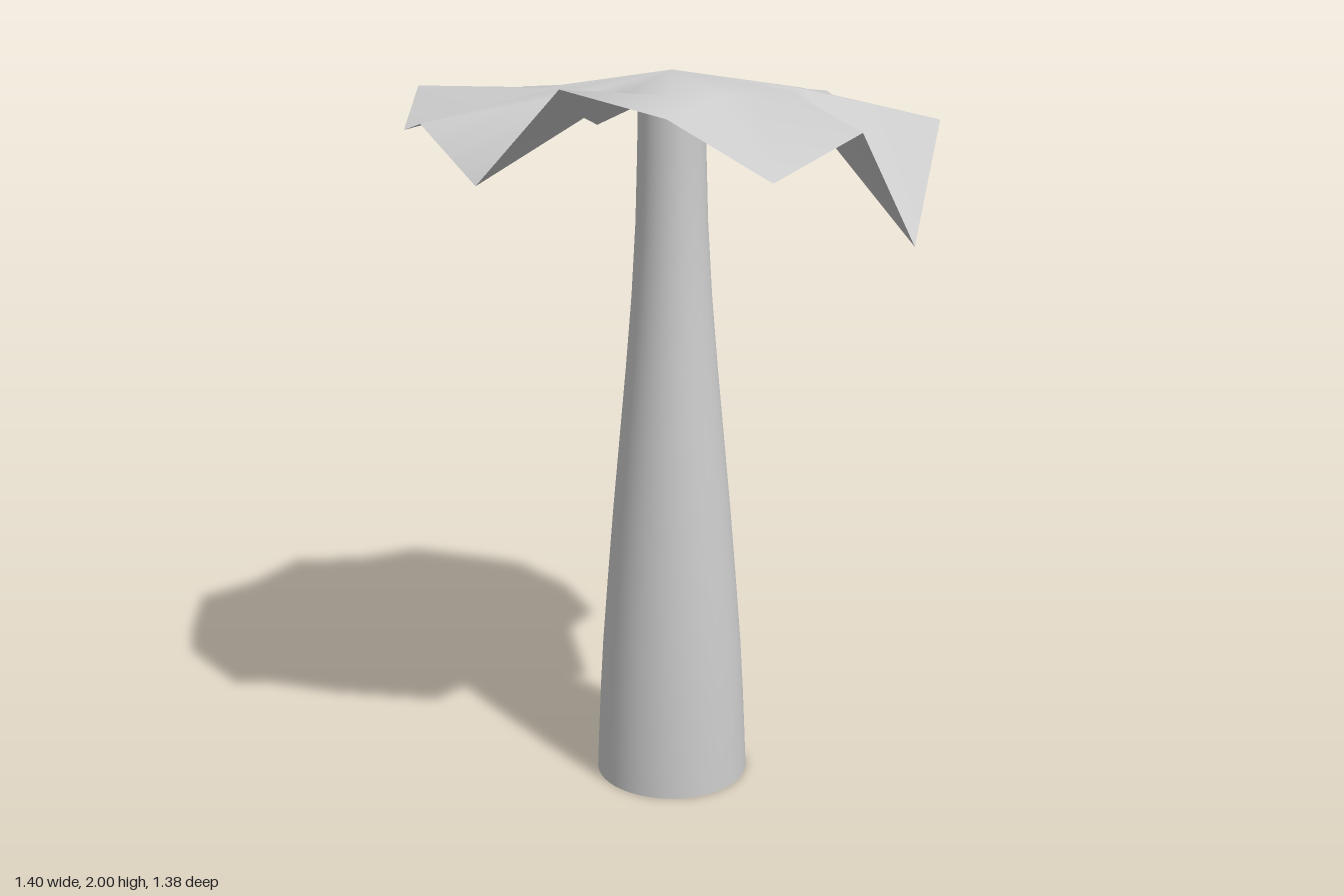
import * as THREE from 'three';
import { toCreasedNormals } from 'three/addons/utils/BufferGeometryUtils.js';

const material = new THREE.MeshStandardMaterial({ color: 0xcccccc, side: THREE.DoubleSide });

// Tapering trunk, closed at both ends
function createTrunk() {
  const profile = [
    [0, 0], [0.218, 0], [0.214, 0.1], [0.207, 0.25], [0.198, 0.4], [0.182, 0.6], [0.165, 0.8], [0.146, 1.0],
    [0.127, 1.2], [0.11, 1.4], [0.098, 1.6], [0.092, 1.8], [0.09, 1.94], [0, 1.94],
  ].map(([r, y]) => new THREE.Vector2(r, y));
  const geometry = toCreasedNormals(new THREE.LatheGeometry(profile, 48), 0.6);
  const trunk = new THREE.Mesh(geometry, material);
  trunk.name = 'trunk';
  return trunk;
}

// Thin crown: an apex, a level middle ring and a wavy, drooping rim
function createCrown() {
  // Rim heights every 20 degrees, from +x towards +z
  const rim = [1.88, 1.586, 1.877, 1.773, 1.918, 1.98, 1.753, 1.883, 1.852,
    1.953, 1.837, 1.932, 1.811, 1.92, 1.83, 1.92, 1.817, 1.758];
  const n = rim.length;
  const positions = [0, 2, 0];
  const index = [];
  const addRing = (radius, heightAt) => {
    for (let i = 0; i < n; i++) {
      const a = (i / n) * Math.PI * 2;
      positions.push(Math.cos(a) * radius, heightAt(i), Math.sin(a) * radius);
    }
  };
  addRing(0.35, () => 1.951);
  addRing(0.7, (i) => rim[i]);
  for (let i = 0; i < n; i++) {
    const j = (i + 1) % n;
    const m0 = 1 + i, m1 = 1 + j, r0 = m0 + n, r1 = m1 + n;
    index.push(0, m1, m0, m0, m1, r1, m0, r1, r0);
  }
  const geometry = new THREE.BufferGeometry();
  geometry.setAttribute('position', new THREE.Float32BufferAttribute(positions, 3));
  geometry.setIndex(index);
  geometry.computeVertexNormals();
  const crown = new THREE.Mesh(geometry, material);
  crown.name = 'crown';
  return crown;
}

export function createModel() {
  const model = new THREE.Group();
  model.name = 'tree';
  model.add(createTrunk(), createCrown());
  return model;
}
